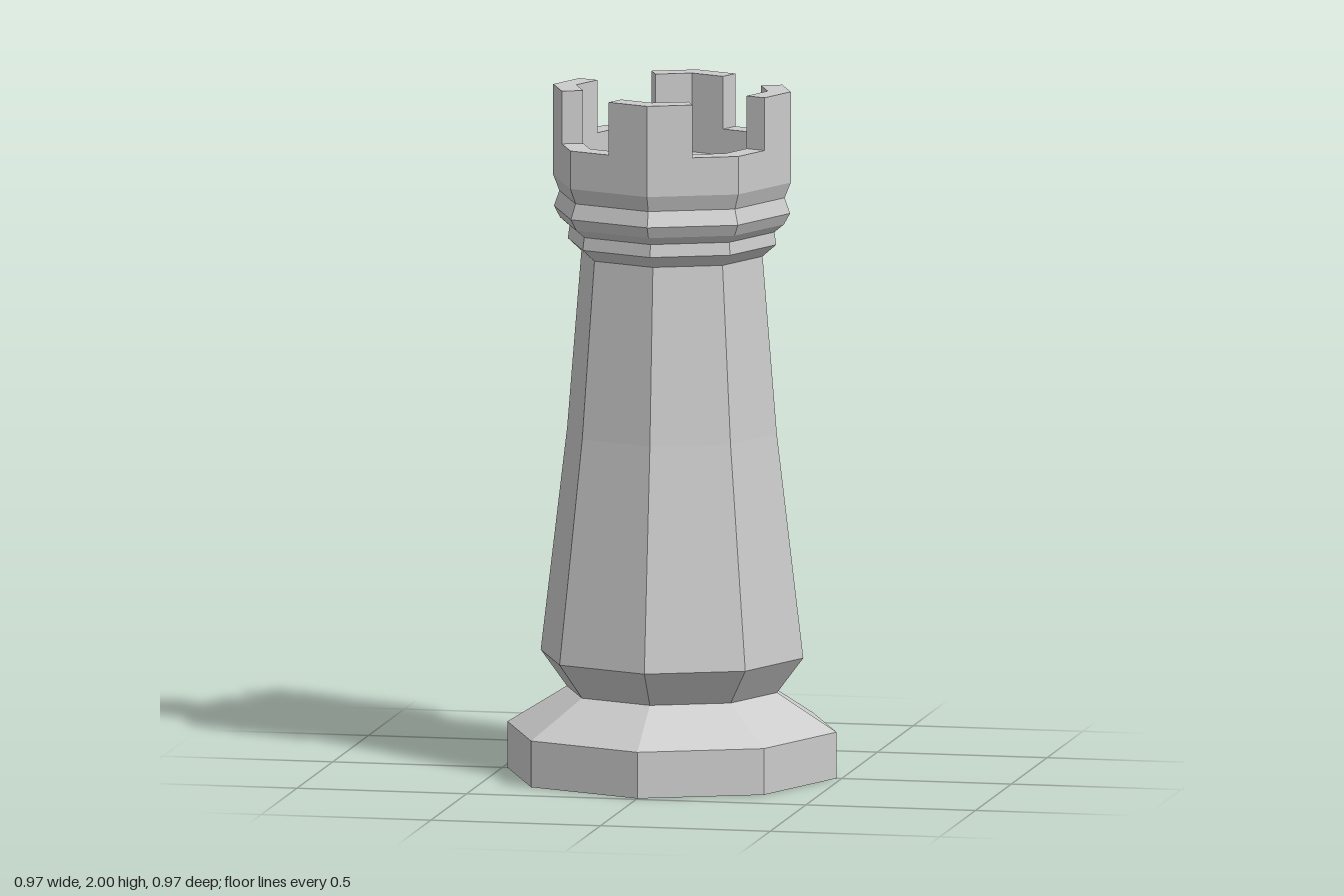
import * as THREE from 'three';

const OUTER = 0.35, INNER = 0.282; // crown wall corner radii
const LEDGE = 1.846, FLOOR = 1.77, TOP = 2;

export function createModel() {
  const group = new THREE.Group();
  const material = new THREE.MeshStandardMaterial({ color: 0xcccccc, flatShading: true });

  const addLathe = (name, profile) => {
    const points = profile.map(([r, y]) => new THREE.Vector2(r, y));
    const mesh = new THREE.Mesh(new THREE.LatheGeometry(points, 8), material);
    mesh.name = name;
    group.add(mesh);
  };

  // Octagonal foot, closed underneath
  addLathe('base', [[0, 0], [0.485, 0], [0.485, 0.135], [0.31, 0.245]]);

  // Flared lower collar and tapering shaft
  addLathe('shaft', [[0.31, 0.245], [0.387, 0.348], [0.309, 1], [0.267, 1.517]]);

  // Stepped rings under the crown
  addLathe('neckRings', [
    [0.267, 1.517], [0.307, 1.552], [0.302, 1.589], [0.33, 1.612],
    [0.348, 1.645], [0.332, 1.69], [OUTER, 1.735],
  ]);

  // Crown wall up to the notches, with the sunken floor inside
  addLathe('crown', [[OUTER, 1.735], [OUTER, LEDGE], [INNER, LEDGE], [INNER, FLOOR], [0, FLOOR]]);

  // Four battlements, each wrapped around one corner and ending mid-face
  const corner = (r, k) => new THREE.Vector2(r * Math.cos(k * Math.PI / 4), r * Math.sin(k * Math.PI / 4));
  const midFace = (r, k) => corner(r, k).lerp(corner(r, k + 1), 0.5);
  const outline = new THREE.Shape([
    midFace(OUTER, -1), corner(OUTER, 0), midFace(OUTER, 0),
    midFace(INNER, 0), corner(INNER, 0), midFace(INNER, -1),
  ]);
  const battlement = new THREE.ExtrudeGeometry(outline, { depth: TOP - LEDGE, bevelEnabled: false });
  battlement.rotateX(-Math.PI / 2).translate(0, LEDGE, 0);
  for (let i = 0; i < 4; i++) {
    const mesh = new THREE.Mesh(battlement, material);
    mesh.name = 'battlement' + (i + 1);
    mesh.rotation.y = i * Math.PI / 2;
    group.add(mesh);
  }

  return group;
}
